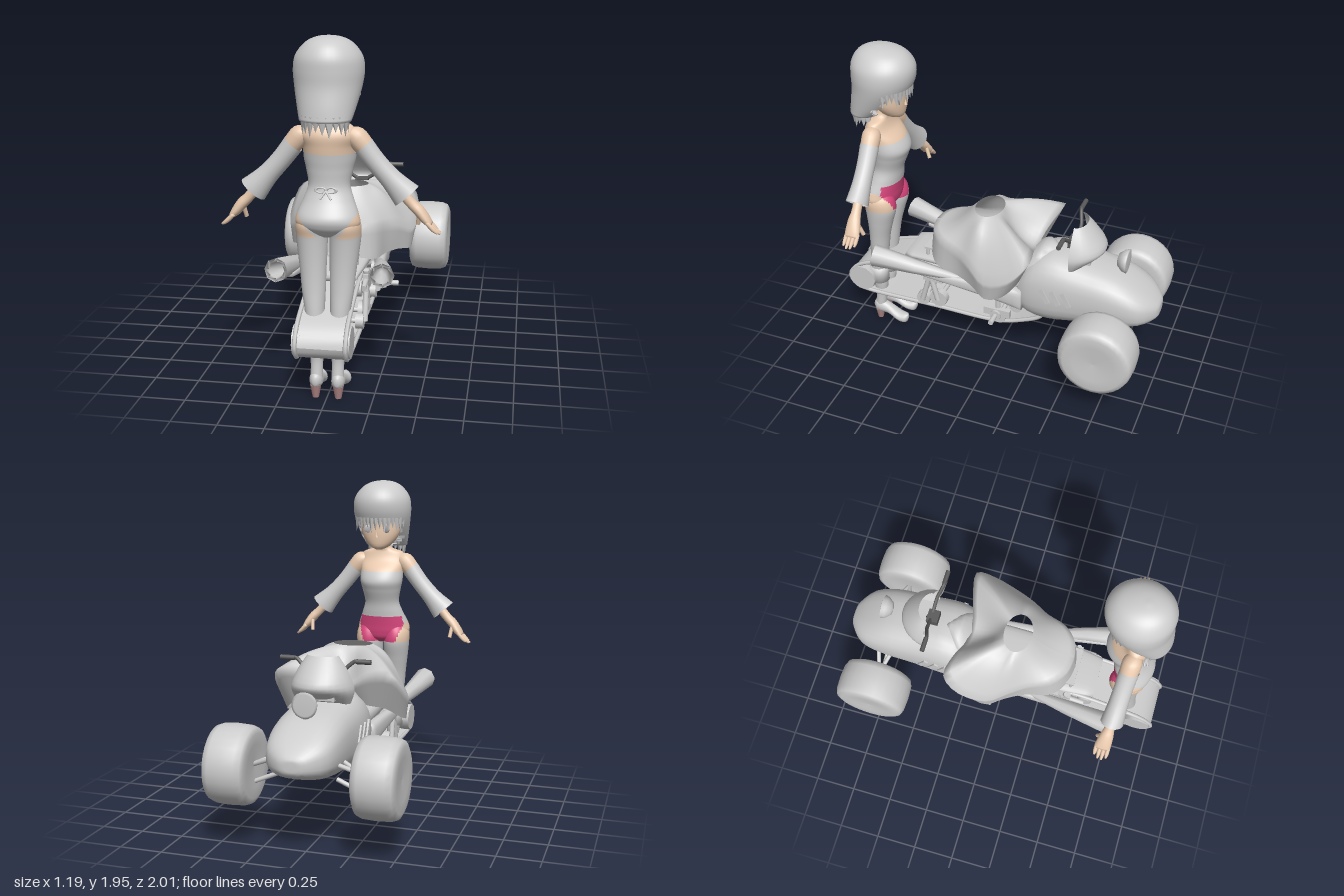
import * as THREE from 'three';

const mat = (name, color) => new THREE.MeshStandardMaterial({ name, color, side: THREE.DoubleSide });
const Y = new THREE.Vector3(0, 1, 0), Z = new THREE.Vector3(0, 0, 1);
const vec = (a) => new THREE.Vector3(...a);

// Smoothly subdivides rows of numbers (Catmull-Rom)
function fine(rows, k) {
  const out = [], at = (i) => rows[Math.min(Math.max(i, 0), rows.length - 1)];
  for (let i = 0; i < rows.length - 1; i++) for (let s = 0; s < k; s++) {
    const t = s / k;
    out.push(rows[i].map((b, c) => {
      const a = at(i - 1)[c], d = at(i + 1)[c], e = at(i + 2)[c];
      return b + 0.5 * t * (d - a + t * (2 * a - 5 * b + 4 * d - e + t * (3 * (b - d) + e - a)));
    }));
  }
  return [...out, rows[rows.length - 1]];
}

// Loft of oval sections [x, y, z, ru, rv] that advance along T; rv lies along V.
// pick(centre) chooses a material index per face, or -1 to leave a gap.
function sweep(rows, T, V, { n = 20, p = 1, k = 3, caps = true, pick = () => 0 } = {}) {
  T = T.clone().normalize();
  const U = T.clone().cross(V).normalize(), W = U.clone().cross(T);
  const r = fine(rows, k), pts = [], groups = [];
  const pw = (v) => Math.sign(v) * Math.abs(v) ** p;
  for (const [x, y, z, ru, rv] of r) for (let j = 0; j < n; j++) {
    const a = (j / n) * Math.PI * 2;
    pts.push(vec([x, y, z]).addScaledVector(U, ru * pw(Math.sin(a))).addScaledVector(W, rv * pw(Math.cos(a))));
  }
  const face = (...f) => {
    const c = new THREE.Vector3();
    f.forEach((i) => c.addScaledVector(pts[i], 1 / f.length));
    const m = pick(c);
    if (m < 0) return;
    (groups[m] ??= []).push(f[0], f[1], f[2]);
    if (f.length > 3) groups[m].push(f[0], f[2], f[3]);
  };
  for (let i = 0; i < r.length - 1; i++) for (let j = 0; j < n; j++) {
    const j2 = (j + 1) % n;
    face(i * n + j, i * n + j2, (i + 1) * n + j2, (i + 1) * n + j);
  }
  if (caps) {
    const e = (r.length - 1) * n;
    pts.push(vec(r[0].slice(0, 3)), vec(r[r.length - 1].slice(0, 3)));
    for (let j = 0; j < n; j++) {
      const j2 = (j + 1) % n;
      face(pts.length - 2, j2, j);
      face(pts.length - 1, e + j, e + j2);
    }
  }
  const g = new THREE.BufferGeometry().setFromPoints(pts), idx = [];
  groups.forEach((f, m) => { g.addGroup(idx.length, f.length, m); for (const i of f) idx.push(i); });
  g.setIndex(idx);
  g.computeVertexNormals();
  return g;
}

export function createModel() {
  const grey = mat('light grey', 0xcccccc), skin = mat('skin', 0xf0d0b4), pink = mat('pink', 0xd8467c);
  const dark = mat('dark grey', 0x5a5a5a), heelMat = mat('heel brown', 0xae8484), eyeMat = mat('eye grey', 0xb0b0b6);
  const all = [grey, skin, pink];
  const root = new THREE.Group(), trike = new THREE.Group(), woman = new THREE.Group();
  trike.name = 'trike'; woman.name = 'woman'; trike.position.x = -0.008;
  root.add(trike, woman);
  const add = (parent, name, geo, m, pos = [0, 0, 0]) => {
    const mesh = new THREE.Mesh(geo, m);
    mesh.name = name; mesh.position.set(...pos); parent.add(mesh);
    return mesh;
  };
  const rod = (name, a, b, r, m = grey, parent = trike) => {
    const d = vec(b).sub(vec(a));
    const mesh = add(parent, name, new THREE.CylinderGeometry(r, r, d.length(), 10), m);
    mesh.position.copy(vec(a)).addScaledVector(d, 0.5);
    mesh.quaternion.setFromUnitVectors(Y, d.normalize());
  };
  const up = (rows, o) => sweep(rows.map(([y, rx, z, rz]) => [0, y, z, rx, rz]), Y, Z, o);
  const along = (rows, o) => sweep(rows.map(([z, w, t, b]) => [0, (t + b) / 2, z, w, (t - b) / 2]), Z, Y.clone().negate(), o);

  // Nose and body shell, tank and tail deck: [z, half width, top, bottom]
  add(trike, 'bodyShell', along([[-1, .03, .58, .53], [-.985, .085, .61, .5], [-.9, .175, .68, .46], [-.75, .207, .76, .42],
    [-.55, .212, .8, .39], [-.35, .22, .83, .355], [-.22, .205, .77, .37], [-.15, .17, .66, .43]], { p: 0.75, n: 28 }), grey);
  add(trike, 'tank', along([[-.37, .03, .83, .7], [-.28, .13, .85, .65], [-.18, .15, .77, .6], [-.05, .12, .66, .6]]), grey);
  add(trike, 'tailDeck', along([[-.2, .17, .66, .55], [.1, .17, .66, .57], [.4, .155, .645, .59], [.6, .13, .62, .58]], { p: 0.6 }), grey);
  add(trike, 'rearRack', new THREE.BoxGeometry(.24, .014, .2), grey, [0, .685, .37]);

  // Draped seat cover: top outline and hem around the waist opening
  const drape = [[0, .43, .84, 0, .45, .68], [.1, .41, .84, .1, .43, .67], [.19, .33, .83, .2, .35, .64], [.245, .2, .8, .24, .2, .63],
    [.31, .1, .77, .3, .08, .62], [.375, -.02, .72, .36, -.02, .6], [.395, -.18, .79, .35, -.12, .63], [.345, -.285, .905, .28, -.19, .69],
    [.2, -.265, .89, .18, -.19, .7], [.1, -.235, .83, .1, -.17, .71], [0, -.225, .8, 0, -.16, .71]];
  const loop = [...drape, ...drape.slice(1, -1).reverse().map((d) => [-d[0], d[1], d[2], -d[3], d[4], d[5]])];
  const cover = new THREE.PlaneGeometry(1, 1, 60, 12), cp = cover.attributes.position;
  const ring = fine([...loop, loop[0]], 3);
  for (let i = 0; i < cp.count; i++) {
    const [x, z, y, hx, hz, hy] = ring[i % 61], row = Math.floor(i / 61);
    const a = Math.atan2(x, z - .08), c = Math.cos(a), rx = .12 * Math.sin(a), rz = .08 + .085 * c;
    if (row <= 8) {
      // Sides swell out, the back dips and a valley runs down the front
      const t = row / 8, f = Math.max(-c, 0), bulge = .06 - .1 * Math.max(c, 0) - .04 * f - .08 * f ** 8;
      cp.setXYZ(i, rx + (x - rx) * t, 1.01 + (y - 1.01) * t + bulge * Math.sin(Math.PI * t), rz + (z - rz) * t);
    } else {
      const t = (row - 8) / 4;
      cp.setXYZ(i, x + (hx - x) * t, y + (hy - y) * t, z + (hz - z) * t);
    }
  }
  cover.computeVertexNormals();
  add(trike, 'seatCover', cover, grey);

  // Windscreen cowl, dash, headlight and handlebar
  add(trike, 'windscreen', up([[.78, .16, -.47, .06], [.84, .18, -.47, .14], [.89, .175, -.47, .178], [.97, .14, -.47, .125], [1.045, .09, -.47, .06]],
    { caps: false, n: 28, pick: (c) => (c.z > -.47 ? -1 : 0) }), grey);
  add(trike, 'dash', new THREE.BoxGeometry(.2, .06, .1), grey, [0, .84, -.53]);
  const lamp = new THREE.LatheGeometry([[0, -.065], [.04, -.055], [.065, -.025], [.073, 0], [.06, .004], [0, .004]]
    .map((q) => new THREE.Vector2(...q)), 20).rotateX(-Math.PI / 2);
  add(trike, 'headlight', lamp, grey, [0, .83, -.78]);
  rod('headlightStem', [0, .74, -.75], [0, .8, -.76], .02);
  const bar = new THREE.CatmullRomCurve3([[-.26, 1.01, -.435], [-.17, 1.01, -.435], [-.1, .95, -.46], [0, .89, -.465],
    [.1, .95, -.46], [.17, 1.01, -.435], [.26, 1.01, -.435]].map(vec), false, 'catmullrom', .2);
  add(trike, 'handlebar', new THREE.TubeGeometry(bar, 40, .011, 8), dark);
  for (const s of [1, -1]) rod('handlebarGrip', [s * .18, 1.01, -.435], [s * .265, 1.01, -.435], .014, dark);
  add(trike, 'handlebarClamp', new THREE.BoxGeometry(.08, .05, .07), dark, [0, .885, -.455]);
  rod('steeringStem', [0, .79, -.5], [0, .89, -.47], .025, dark);

  // Rear track: belt, side rails and rear drum
  const path = new THREE.CatmullRomCurve3([[0, .345, 1], [0, .28, .96], [0, .262, .88], [0, .262, .4], [0, .265, 0], [0, .3, -.14],
    [0, .4, -.31], [0, .53, -.2], [0, .57, .1], [0, .575, .5], [0, .5, .8], [0, .43, .95]].map(vec), true, 'centripetal');
  const belt = new THREE.PlaneGeometry(.25, 1, 1, 100), bp = belt.attributes.position;
  for (let i = 0; i < bp.count; i++) {
    const q = path.getPointAt(Math.floor(i / 2) / 100 % 1);
    bp.setXYZ(i, bp.getX(i), q.y, q.z);
  }
  belt.computeVertexNormals();
  add(trike, 'trackBelt', belt, grey);
  rod('rearDrum', [-.11, .355, .905], [.11, .355, .905], .085);

  const tyre = new THREE.LatheGeometry([[0, -.11], [.12, -.118], [.18, -.122], [.21, -.108], [.222, -.075], [.226, 0],
    [.222, .075], [.21, .108], [.18, .122], [.12, .118], [0, .11]].map((q) => new THREE.Vector2(...q)), 28).rotateZ(Math.PI / 2);
  for (const s of [1, -1]) {
    // Front wheels and suspension
    add(trike, 'frontWheel', tyre, grey, [s * .417, .46, -.745]);
    for (const [y, z] of [[.5, -.7], [.5, -.79], [.4, -.745]]) rod('suspensionArm', [s * .17, y + .03, z], [s * .31, y - .03, -.745], .013);
    // Slanted side vents
    for (let i = 0; i < 3; i++) {
      const v = add(trike, 'sideVent', new THREE.BoxGeometry(.02, .1, .028), grey, [s * (.219 - i * .003), .61, -.345 - i * .065]);
      v.rotation.x = .5;
    }
    // Side fairing and flared exhaust
    add(trike, 'sideFairing', sweep([[s * .165, .51, -.19, .05, .075], [s * .19, .54, 0, .035, .055], [s * .215, .57, .3, .03, .03],
      [s * .24, .605, .6, .02, .014]], Z, Y, { p: .7 }), grey);
    const dir = vec([s * .09, .1, .53]);
    add(trike, 'exhaust', sweep([[s * .2, .58, .2, .02, .02], [s * .25, .63, .47, .046, .046], [s * .29, .675, .735, .067, .067],
      [s * .288, .673, .725, .045, .045], [s * .265, .65, .58, .035, .035]], dir, Y, { n: 8, k: 1 }), grey);
    // Track rails, road wheels and frame
    const rail = new THREE.TubeGeometry(path, 100, .013, 6, true);
    add(trike, 'trackRail', rail, grey, [s * .135, 0, 0]);
    for (const [z, y, r] of [[.905, .355, .088], [.375, .335, .057], [.48, .31, .045], [.55, .53, .045], [-.03, .31, .045], [-.14, .42, .042]])
      rod('roadWheel', [s * .11, y, z], [s * .155, y, z], r);
    for (const [a, b] of [[[.6, .44], [.335, .375]], [[.6, .4], [.31, .48]], [[.55, .42], [.53, .55]], [[.55, -.03], [.31, -.03]]])
      rod('trackStrut', [s * .16, ...a], [s * .16, ...b], .017);
    add(trike, 'strutMount', new THREE.BoxGeometry(.03, .1, .13), grey, [s * .16, .53, .4]);
    add(trike, 'pegBracket', new THREE.BoxGeometry(.03, .05, .17), grey, [s * .175, .37, -.03]);
    rod('footPeg', [s * .16, .365, -.03], [s * .29, .365, -.03], .016);
    rod('footPegEnd', [s * .2, .365, -.03], [s * .215, .365, -.03], .035);
    rod('rackStrut', [s * .11, .6, .45], [s * .11, .69, .45], .011);
  }
  for (const [z, y] of [[.375, .335], [.48, .31], [-.03, .31]]) rod('trackAxle', [-.15, y, z], [.15, y, z], .014);

  // Hip paint rule shared by torso and legs: bare outer hip, pink front, grey back
  const bareHip = (c) => c.y < 1.04 && Math.abs(c.x) > .055 + (c.y - .91) * .85;
  const hipPaint = (c) => (c.y < .905 || c.y > 1.075 ? 0 : c.z < .73 ? (Math.abs(c.x) < .1 + (c.y - .9) * .4 ? 2 : c.y < 1.05 ? 1 : 0)
    : bareHip(c) ? 1 : 0);

  // Torso and neck: [y, half width, z, half depth]
  add(woman, 'torso', up([[.9, .04, .77, .05], [.93, .13, .775, .09], [.97, .17, .785, .112], [1.02, .165, .785, .118], [1.1, .133, .755, .1],
    [1.17, .112, .735, .092], [1.25, .125, .72, .108], [1.31, .138, .715, .12], [1.38, .14, .735, .108], [1.44, .15, .765, .082],
    [1.49, .13, .765, .06], [1.52, .06, .75, .045], [1.58, .045, .735, .045]], {
    n: 72, k: 10, pick: (c) => (c.y > (c.z > .74 ? 1.345 : 1.375) ? 1 : hipPaint(c)) }), all);
  // Bow at the back of the waist
  for (const s of [1, -1]) {
    const b = add(woman, 'bowLoop', new THREE.TorusGeometry(.02, .006, 6, 14), grey, [s * .028, 1.16, .835]);
    b.scale.set(1.3, .7, 1);
    rod('bowTail', [0, 1.155, .837], [s * .03, 1.115, .855], .006, grey, woman);
  }

  // Head, face and hair
  add(woman, 'head', up([[1.515, .02, .655, .025], [1.54, .07, .675, .065], [1.6, .115, .695, .092], [1.67, .132, .71, .105],
    [1.78, .13, .715, .105], [1.86, .05, .72, .05]], { n: 28 }), skin);
  add(woman, 'nose', new THREE.ConeGeometry(.012, .035, 6), skin, [0, 1.615, .6]);
  for (const s of [1, -1]) {
    const e = add(woman, 'eye', new THREE.SphereGeometry(1, 14, 8), eyeMat, [s * .058, 1.65, .612]);
    e.scale.set(.03, .026, .006); e.rotation.y = s * .45;
  }
  add(woman, 'hair', up([[1.53, .135, .842, .1], [1.6, .155, .795, .14], [1.7, .177, .745, .175], [1.78, .185, .73, .19], [1.85, .172, .73, .185],
    [1.91, .125, .735, .145], [1.94, .07, .745, .08], [1.95, .01, .75, .01]], {
    n: 36, k: 4, pick: (c) => ((c.y < 1.6 && c.z < .75) || (c.y < 1.715 && c.z < .66) || (c.y < 1.65 && c.z < .69) ? -1 : 0) }), grey);
  for (let i = 0; i < 15; i++) {
    const a = (i / 14 - .5) * 4.2, len = .05 + .03 * ((i * 7) % 3) / 2;
    // Tips ring the nape, and hang straight over the brow
    const back = add(woman, 'hairTip', new THREE.ConeGeometry(.034, len + .03, 5).rotateX(Math.PI).scale(1, 1, .4), grey,
      [.118 * Math.sin(a), 1.545 - len / 2, .842 + .085 * Math.cos(a)]);
    back.rotation.y = a;
    const f = (i / 14 - .5) * 2.3;
    const front = add(woman, 'fringeTip', new THREE.ConeGeometry(.026, len + .03, 5).rotateX(Math.PI).scale(1, 1, .4), grey,
      [.17 * Math.sin(f), 1.72 - len / 2, .742 - .172 * Math.cos(f)]);
    front.rotation.y = -f;
  }

  for (const s of [1, -1]) {
    // Arm, wide sleeve and hand
    const d = vec([s * .66, -.75, 0]);
    const limb = (rows, o) => sweep(rows.map(([x, ...q]) => [s * x, ...q]), d, Z, o);
    add(woman, 'shoulder', limb([[.1, 1.465, .765, .03, .03], [.14, 1.44, .76, .055, .055], [.2, 1.37, .755, .052, .052], [.3, 1.25, .75, .035, .035]]), skin);
    add(woman, 'sleeve', limb([[.185, 1.385, .757, .057, .057], [.25, 1.3, .752, .054, .054], [.33, 1.21, .747, .058, .056],
      [.41, 1.125, .742, .08, .066]], { caps: false }), grey);
    add(woman, 'hand', limb([[.3, 1.25, .75, .035, .035], [.42, 1.1, .74, .028, .028], [.47, 1.05, .735, .03, .038], [.51, 1.0, .73, .026, .045],
      [.535, .972, .728, .015, .042]]), skin);
    for (let i = 0; i < 4; i++) {
      const z = .694 + i * .023, l = [.03, .045, .048, .035][i];
      add(woman, 'finger', limb([[.515, .99, z, .012, .012], [.535 + l * .5, .965 - l * .4, z, .012, .012], [.54 + l, .955 - l * .65, z, .006, .006]], { n: 8 }), skin);
    }
    rod('thumb', [s * .475, 1.03, .71], [s * .465, .96, .685], .012, skin, woman);

    // Leg with stocking, boot cuff, foot and heel
    const vert = (rows, o) => sweep(rows.map(([y, x, z, rx, rz]) => [s * x, y, z, rx, rz]), Y, Z, o);
    add(woman, 'leg', vert([[.08, .058, .835, .034, .036], [.2, .058, .82, .034, .035], [.3, .06, .818, .044, .048], [.4, .064, .82, .05, .052],
      [.5, .07, .808, .055, .058], [.6, .076, .797, .064, .06], [.7, .08, .787, .07, .066], [.8, .085, .775, .078, .08],
      [.9, .09, .765, .084, .098], [.97, .092, .775, .08, .1], [1.03, .085, .78, .055, .07]], { n: 48, k: 10, pick: hipPaint }), all);
    add(woman, 'bootCuff', vert([[.32, .064, .824, .06, .064], [.38, .064, .824, .058, .062], [.43, .066, .824, .062, .066]], { k: 1 }), grey);
    add(woman, 'foot', sweep([[s * .06, .1, .875, .012, .02], [s * .06, .1, .845, .036, .05], [s * .06, .085, .77, .036, .037],
      [s * .065, .05, .7, .042, .032], [s * .068, .045, .65, .034, .034], [s * .07, .06, .632, .01, .015]], Z.clone().negate(), Y), grey);
    add(woman, 'heel', new THREE.CylinderGeometry(.031, .018, .07, 10), heelMat, [s * .062, .035, .838]);
  }
  return root;
}
